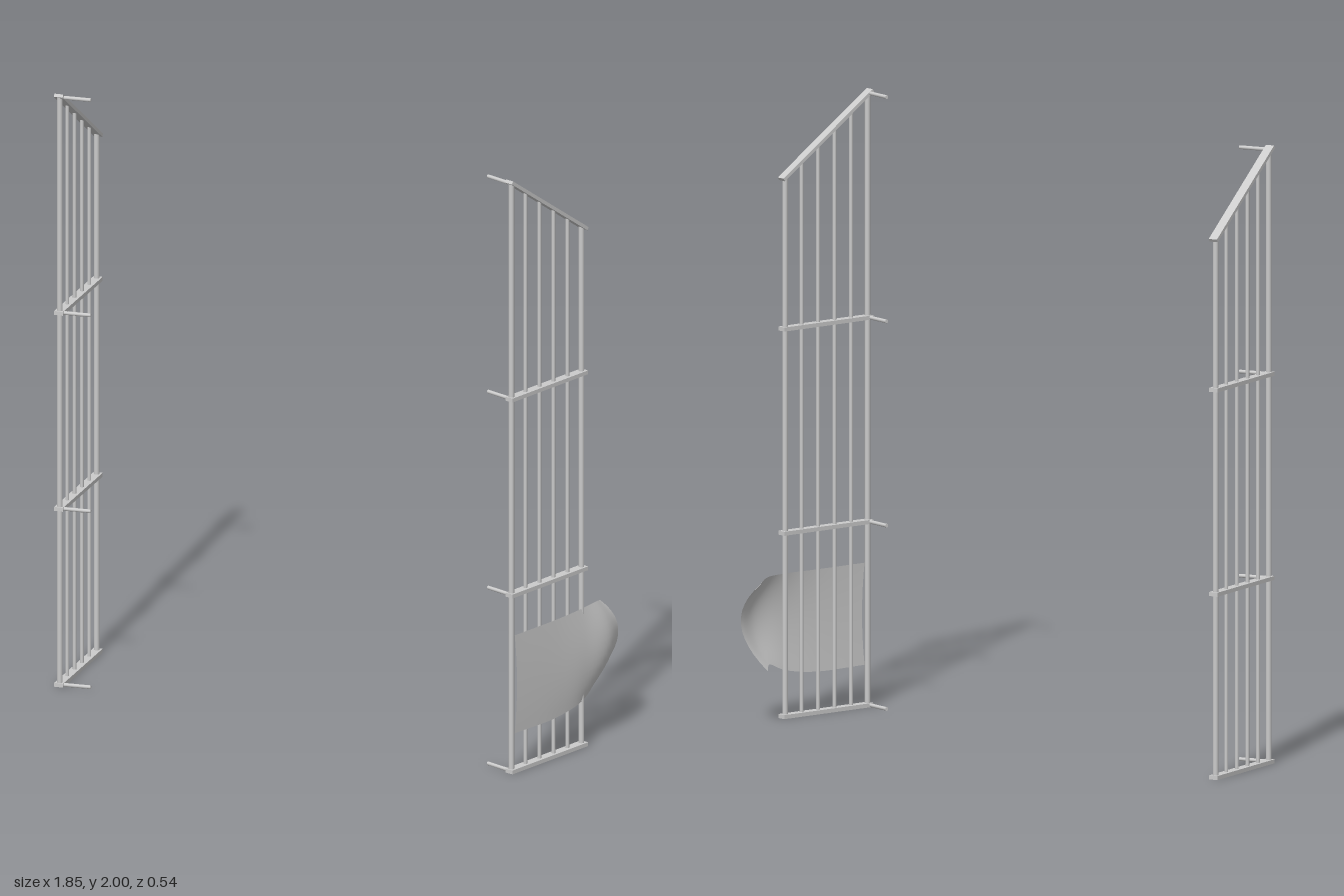
import * as THREE from 'three';

const grey = new THREE.MeshStandardMaterial({ color: 0xcccccc });
const clothGrey = new THREE.MeshStandardMaterial({ color: 0xcccccc, side: THREE.DoubleSide });

// Round bar between two points
function rod(name, a, b, r) {
  const mesh = new THREE.Mesh(new THREE.CylinderGeometry(r, r, a.distanceTo(b), 12), grey);
  mesh.name = name;
  mesh.position.lerpVectors(a, b, 0.5);
  mesh.quaternion.setFromUnitVectors(new THREE.Vector3(0, 1, 0), b.clone().sub(a).normalize());
  return mesh;
}

// Flat bar between two points
function flatBar(name, a, b, width, thickness) {
  const mesh = new THREE.Mesh(new THREE.BoxGeometry(width, thickness, a.distanceTo(b)), grey);
  mesh.name = name;
  mesh.position.lerpVectors(a, b, 0.5);
  mesh.lookAt(b);
  return mesh;
}

// One barred gate leaf; side is +1 or -1
function createGate(side) {
  const gate = new THREE.Group();
  gate.name = side > 0 ? 'leftGate' : 'rightGate';
  const at = (z, y) => new THREE.Vector3(side * (0.835 + (0.25 - z) * 0.183) - 0.015, y, z);
  const topY = (z) => 1.985 - (0.25 - z) * 0.69;

  // Uprights: thick end posts, thin bars between
  for (let i = 0; i < 6; i++) {
    const z = 0.25 - i * 0.067;
    const end = i === 0 || i === 5;
    gate.add(rod(end ? 'post' : 'bar', at(z, 0.005), at(z, topY(z)), end ? 0.009 : 0.006));
  }

  // Level rails and the sloping top rail
  for (const y of [0.0075, 0.6, 1.26]) gate.add(flatBar('rail', at(0.262, y), at(-0.1, y), 0.03, 0.013));
  gate.add(flatBar('topRail', at(0.262, topY(0.262)), at(-0.1, topY(-0.1)), 0.03, 0.011));

  // Hinge pins pointing inward
  for (const y of [0.0075, 0.6, 1.26, 1.985]) {
    const a = at(0.252, y);
    gate.add(rod('hingePin', a, new THREE.Vector3(a.x - side * 0.1, y, 0.226), 0.006));
  }
  return gate;
}

// Hanging sheet lofted through sections of bottom, middle and top points
function createCloth() {
  const V = (x, y, z) => new THREE.Vector3(x, y, z);
  const sections = [
    [V(0.832, 0.135, 0.25), V(0.836, 0.3, 0.242), V(0.832, 0.465, 0.25)],
    [V(0.868, 0.135, 0.05), V(0.874, 0.3, 0.05), V(0.868, 0.465, 0.05)],
    [V(0.886, 0.155, -0.08), V(0.902, 0.31, -0.08), V(0.886, 0.467, -0.08)],
    [V(0.878, 0.185, -0.165), V(0.923, 0.32, -0.19), V(0.886, 0.465, -0.17)],
    [V(0.835, 0.175, -0.224), V(0.905, 0.325, -0.275), V(0.868, 0.45, -0.225)],
  ];
  const rails = [0, 1, 2].map((k) => new THREE.CatmullRomCurve3(sections.map((s) => s[k])));
  const nu = 28, nv = 12, positions = [], index = [];
  for (let i = 0; i <= nu; i++) {
    const [b, m, t] = rails.map((r) => r.getPoint(i / nu));
    for (let j = 0; j <= nv; j++) {
      const v = j / nv;
      const p = new THREE.Vector3()
        .addScaledVector(b, (1 - v) * (1 - 2 * v))
        .addScaledVector(m, 4 * v * (1 - v))
        .addScaledVector(t, v * (2 * v - 1));
      positions.push(p.x, p.y, p.z);
      if (i < nu && j < nv) {
        const a = i * (nv + 1) + j, c = a + nv + 1;
        index.push(a, c, a + 1, c, c + 1, a + 1);
      }
    }
  }
  const geometry = new THREE.BufferGeometry();
  geometry.setAttribute('position', new THREE.Float32BufferAttribute(positions, 3));
  geometry.setIndex(index);
  geometry.computeVertexNormals();
  const cloth = new THREE.Mesh(geometry, clothGrey);
  cloth.name = 'cloth';
  return cloth;
}

export function createModel() {
  const model = new THREE.Group();
  model.name = 'gatePair';
  model.add(createGate(1), createGate(-1), createCloth());
  return model;
}
